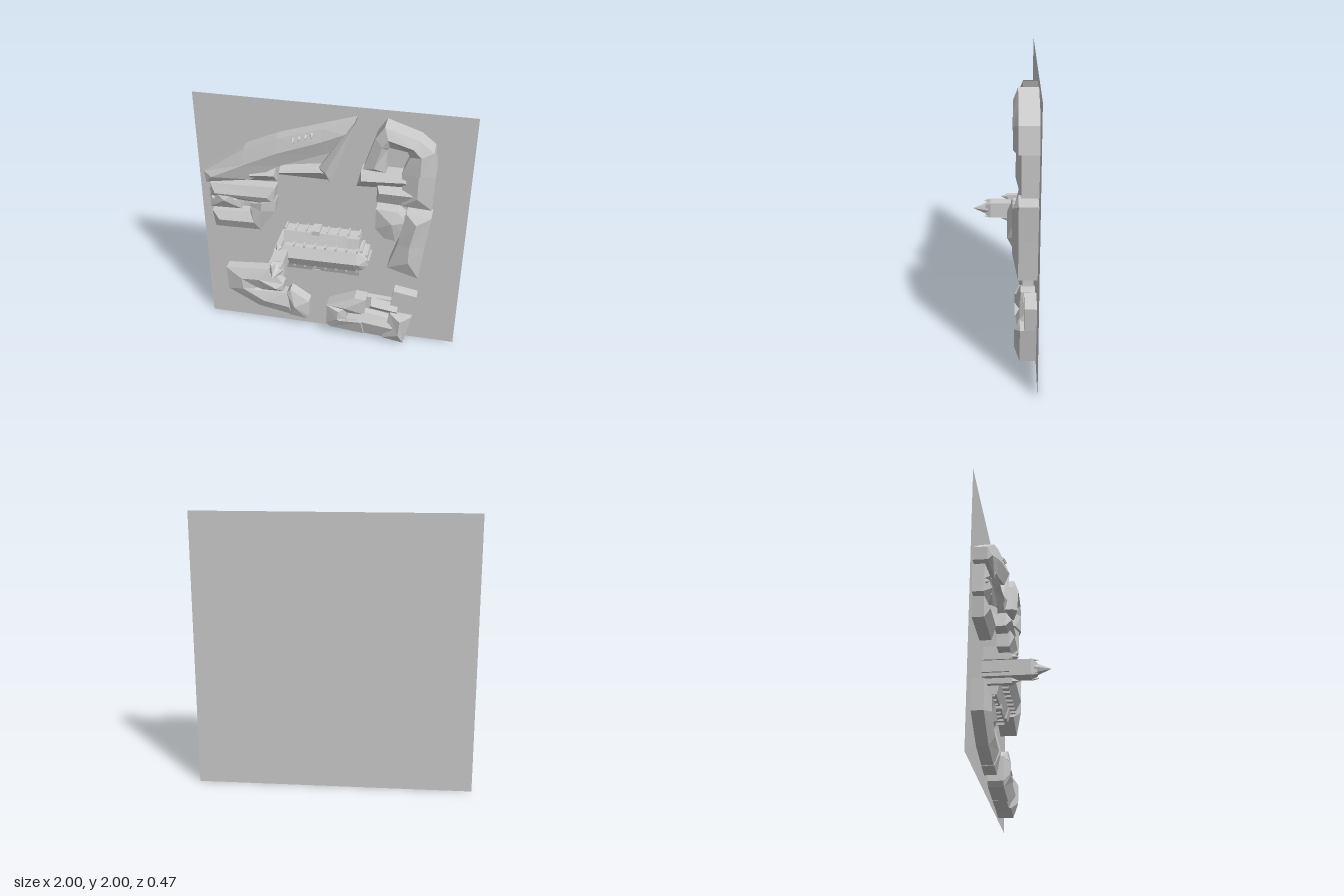
import * as THREE from 'three';

const BASE = -0.235;
const material = new THREE.MeshStandardMaterial({ color: 0xcccccc, flatShading: true, side: THREE.DoubleSide });

function add(parent, name, geometry, x = 0, y = 0, z = 0) {
  const mesh = new THREE.Mesh(geometry, material);
  mesh.name = name;
  mesh.position.set(x, y, z);
  parent.add(mesh);
  return mesh;
}

// Roofed wing lofted through sections [outerX, outerY, innerX, innerY, ridgeX, ridgeY]
function wing(parent, name, sections, eave, ridge) {
  const rings = sections.map(([ox, oy, ix, iy, rx, ry]) => [
    [ox, oy, BASE], [ox, oy, eave], [rx, ry, ridge], [ix, iy, eave], [ix, iy, BASE],
  ]);
  const tris = [];
  const quad = (a, b, c, d) => tris.push([a, b, c], [a, c, d]);
  for (let i = 0; i + 1 < rings.length; i++)
    for (let k = 0; k < 4; k++) quad(rings[i][k], rings[i + 1][k], rings[i + 1][k + 1], rings[i][k + 1]);
  const cap = (r, flip) => {
    const p = flip ? [...r].reverse() : r;
    tris.push([p[1], p[2], p[3]]);
    quad(p[0], p[1], p[3], p[4]);
  };
  cap(rings[0], false);
  cap(rings[rings.length - 1], true);
  // Turn every face outward whichever way the path runs
  const [a, b] = sections;
  const turn = (b[4] - a[4]) * (a[1] - a[3]) - (b[5] - a[5]) * (a[0] - a[2]);
  if (turn < 0) tris.forEach((t) => t.reverse());
  const g = new THREE.BufferGeometry();
  g.setAttribute('position', new THREE.Float32BufferAttribute(tris.flat(2), 3));
  g.computeVertexNormals();
  return add(parent, name, g);
}

// Walls on any outline with a roof rising to one peak
function tent(parent, name, outline, peak, eave, top) {
  const pos = [];
  outline.forEach(([x, y], i) => {
    const [u, v] = outline[(i + 1) % outline.length];
    pos.push(x, y, BASE, u, v, BASE, u, v, eave, x, y, BASE, u, v, eave, x, y, eave);
    pos.push(x, y, eave, u, v, eave, peak[0], peak[1], top);
  });
  const g = new THREE.BufferGeometry();
  g.setAttribute('position', new THREE.Float32BufferAttribute(pos, 3));
  g.computeVertexNormals();
  return add(parent, name, g);
}

// Flat-topped block on any outline
function slab(parent, name, outline, top) {
  const shape = new THREE.Shape(outline.map(([x, y]) => new THREE.Vector2(x, y)));
  return add(parent, name, new THREE.ExtrudeGeometry(shape, { depth: top - BASE, bevelEnabled: false }), 0, 0, BASE);
}

function box(parent, name, x0, x1, y0, y1, top, bottom = BASE) {
  return add(parent, name, new THREE.BoxGeometry(x1 - x0, y1 - y0, top - bottom), (x0 + x1) / 2, (y0 + y1) / 2, (top + bottom) / 2);
}

// Spire pointing away from the board
function spire(parent, name, x, y, z0, z1, r, sides = 4, turn = Math.PI / 4) {
  const g = new THREE.ConeGeometry(r, z1 - z0, sides);
  g.rotateY(turn).rotateX(Math.PI / 2);
  return add(parent, name, g, x, y, (z0 + z1) / 2);
}

function block(root, name) {
  const g = new THREE.Group();
  g.name = name;
  root.add(g);
  return g;
}

function buildChurch(root) {
  const church = block(root, 'church');
  church.rotation.z = 0.015;
  church.position.set(0.012, 0, 0);
  // Nave with hipped, polygonal choir end
  wing(church, 'nave', [[-0.33, 0.89, -0.33, 0.72, -0.33, 0.805], [0.22, 0.89, 0.22, 0.72, 0.22, 0.805],
    [0.275, 0.87, 0.275, 0.74, 0.24, 0.805], [0.305, 0.835, 0.305, 0.775, 0.245, 0.805]], -0.07, -0.03);
  // Side aisles with lean-to roofs
  for (const s of [-1, 1]) {
    const y = (d) => 0.805 + s * d;
    wing(church, 'aisle', [[-0.34, y(0.175), -0.34, y(0.08), -0.34, y(0.085)],
      [0.14, y(0.175), 0.14, y(0.08), 0.14, y(0.085)]], -0.14, -0.112);
    wing(church, 'chapel', [[0.14, y(0.17), 0.14, y(0.08), 0.14, y(0.09)],
      [0.24, y(0.17), 0.24, y(0.08), 0.24, y(0.09)]], -0.125, -0.105);
    box(church, 'porch', -0.125, -0.065, Math.min(y(0.16), y(0.195)), Math.max(y(0.16), y(0.195)), -0.13);
    for (let i = 0; i < 8; i++) {
      const x = -0.33 + i * 0.08;
      box(church, 'aisleButtress', x - 0.006, x + 0.006, y(0.176) - 0.012, y(0.176) + 0.012, -0.15);
      if (i) box(church, 'naveButtress', x - 0.007, x + 0.007, y(0.088) - 0.012, y(0.088) + 0.012, -0.068);
    }
    // Stair turret beside the tower
    box(church, 'turret', -0.375, -0.335, y(0.09) - 0.02, y(0.09) + 0.02, -0.03);
    spire(church, 'turretSpire', -0.355, y(0.09), -0.03, 0.02, 0.026, 6);
  }
  // Buttresses around the choir end
  for (let i = -2; i <= 2; i++) {
    const a = i * 0.55;
    box(church, 'choirButtress', 0.215 + 0.095 * Math.cos(a) - 0.01, 0.215 + 0.095 * Math.cos(a) + 0.01,
      0.805 + 0.092 * Math.sin(a) - 0.01, 0.805 + 0.092 * Math.sin(a) + 0.01, -0.09);
  }
  // Tower, corner pinnacles and spire
  box(church, 'tower', -0.39, -0.29, 0.745, 0.862, 0.1);
  box(church, 'towerFront', -0.405, -0.38, 0.77, 0.84, -0.05);
  add(church, 'towerGables', new THREE.CylinderGeometry(0.052, 0.078, 0.04, 4).rotateY(Math.PI / 4).rotateX(Math.PI / 2), -0.34, 0.803, 0.12);
  spire(church, 'spire', -0.34, 0.803, 0.12, 0.236, 0.052, 8, 0);
  for (const sx of [-1, 1]) for (const sy of [-1, 1])
    spire(church, 'pinnacle', -0.34 + sx * 0.042, 0.803 + sy * 0.05, 0.1, 0.155, 0.014);
}

export function createModel() {
  const root = new THREE.Group();
  root.name = 'townRelief';
  add(root, 'board', new THREE.PlaneGeometry(2, 2), 0, 1, BASE);
  buildChurch(root);

  // Triangular block at the upper left
  const a = block(root, 'triangularBlock');
  wing(a, 'longWing', [[-0.93, 1.42, -0.92, 1.33, -0.87, 1.39], [-0.62, 1.64, -0.58, 1.39, -0.62, 1.52],
    [-0.38, 1.75, -0.36, 1.53, -0.38, 1.64], [-0.05, 1.86, -0.02, 1.67, -0.05, 1.77], [0.18, 1.935, 0.04, 1.7, 0.12, 1.85]], -0.135, -0.108);
  wing(a, 'rightWing', [[0.185, 1.93, 0.02, 1.69, 0.12, 1.85], [0.015, 1.44, -0.07, 1.55, -0.02, 1.53]], -0.135, -0.108);
  wing(a, 'lowerWing', [[-0.37, 1.44, -0.36, 1.53, -0.36, 1.48], [0.01, 1.44, -0.05, 1.58, -0.01, 1.52]], -0.17, -0.125);
  slab(a, 'courtyardRoof', [[-0.37, 1.5], [-0.06, 1.52], [0.04, 1.7], [-0.3, 1.6]], -0.165);
  wing(a, 'annex', [[-0.59, 1.37, -0.6, 1.48, -0.58, 1.43], [-0.39, 1.39, -0.39, 1.51, -0.4, 1.45]], -0.16, -0.118);
  for (let i = 0; i < 4; i++) spire(a, 'dormer', -0.25 + i * 0.045, 1.75 + i * 0.018, -0.15, -0.1, 0.025).scale.y = 2;
  for (let i = 0; i < 3; i++) spire(a, 'smallDormer', -0.83 + i * 0.035, 1.43 + i * 0.02, -0.16, -0.115, 0.02).scale.y = 1.6;

  // Block at the left with a courtyard
  const b = block(root, 'leftBlock');
  wing(b, 'lowerWing', [[-0.88, 0.93, -0.9, 1.07, -0.84, 1.01], [-0.53, 0.94, -0.6, 1.09, -0.57, 1.02],
    [-0.41, 1.12, -0.6, 1.15, -0.51, 1.13], [-0.4, 1.22, -0.6, 1.17, -0.5, 1.2]], -0.155, -0.12);
  wing(b, 'upperWing', [[-0.9, 1.31, -0.9, 1.2, -0.86, 1.24], [-0.4, 1.33, -0.42, 1.18, -0.46, 1.25]], -0.155, -0.125);
  tent(b, 'pavilion', [[-0.91, 1.1], [-0.67, 1.11], [-0.68, 1.27], [-0.91, 1.28]], [-0.79, 1.19], -0.16, -0.118);
  for (const x of [-0.88, -0.71]) spire(b, 'dormer', x, 1.19, -0.165, -0.125, 0.03);

  // Ring block at the upper right
  const c = block(root, 'ringBlock');
  wing(c, 'ring', [[0.25, 1.6, 0.41, 1.59, 0.33, 1.63], [0.33, 1.85, 0.41, 1.77, 0.38, 1.8], [0.39, 1.94, 0.43, 1.79, 0.42, 1.86],
    [0.63, 1.86, 0.55, 1.77, 0.59, 1.81], [0.73, 1.78, 0.57, 1.73, 0.65, 1.75], [0.755, 1.6, 0.52, 1.59, 0.65, 1.6]], -0.1, -0.066);
  wing(c, 'rightWing', [[0.755, 1.6, 0.52, 1.6, 0.64, 1.6], [0.745, 1.31, 0.53, 1.32, 0.64, 1.41]], -0.12, -0.085);
  wing(c, 'lowerWing', [[0.2, 1.43, 0.23, 1.56, 0.24, 1.5], [0.57, 1.45, 0.57, 1.58, 0.55, 1.52]], -0.145, -0.1);
  wing(c, 'cornerWing', [[0.35, 1.325, 0.35, 1.47, 0.37, 1.42], [0.65, 1.315, 0.65, 1.47, 0.64, 1.42]], -0.13, -0.092);
  slab(c, 'courtyardFloor', [[0.4, 1.59], [0.53, 1.59], [0.58, 1.74], [0.42, 1.78]], -0.19);

  // Pair of buildings at the right
  const d = block(root, 'rightBlock');
  tent(d, 'corner', [[0.35, 1.1], [0.42, 1.02], [0.5, 1.01], [0.55, 1.1], [0.58, 1.18], [0.51, 1.26], [0.35, 1.27]], [0.47, 1.17], -0.12, -0.085);
  slab(d, 'link', [[0.45, 1.04], [0.58, 1.02], [0.6, 1.22], [0.5, 1.22]], -0.14);
  wing(d, 'longWing', [[0.75, 1.25, 0.57, 1.265, 0.65, 1.2], [0.72, 1, 0.52, 0.99, 0.61, 1],
    [0.69, 0.7, 0.455, 0.77, 0.61, 0.86]], -0.105, -0.064);

  // Hooked block at the lower left
  const e = block(root, 'hookedBlock');
  wing(e, 'hook', [[-0.365, 0.43, -0.37, 0.36, -0.42, 0.4], [-0.475, 0.565, -0.54, 0.35, -0.56, 0.47], [-0.83, 0.53, -0.6, 0.37, -0.7, 0.46],
    [-0.82, 0.32, -0.58, 0.355, -0.69, 0.36], [-0.57, 0.18, -0.47, 0.34, -0.52, 0.26], [-0.3, 0.13, -0.33, 0.35, -0.32, 0.23]], -0.155, -0.12);
  tent(e, 'corner', [[-0.32, 0.13], [-0.18, 0.11], [-0.16, 0.14], [-0.16, 0.29], [-0.31, 0.39], [-0.34, 0.35]], [-0.27, 0.24], -0.15, -0.112);

  // Block at the lower right
  const f = block(root, 'lowerRightBlock');
  wing(f, 'leftHouse', [[-0.01, 0.3, 0.15, 0.3, 0.09, 0.28], [-0.015, 0.12, 0.15, 0.18, 0.08, 0.2], [0.02, 0.085, 0.15, 0.18, 0.1, 0.19],
    [0.29, 0.06, 0.29, 0.2, 0.27, 0.2]], -0.125, -0.085);
  tent(f, 'backHouse', [[-0.01, 0.3], [0.14, 0.25], [0.29, 0.25], [0.3, 0.4], [0.21, 0.405]], [0.14, 0.31], -0.13, -0.1);
  wing(f, 'middleWing', [[0.27, 0.06, 0.26, 0.28, 0.27, 0.2], [0.52, 0.04, 0.52, 0.24, 0.52, 0.17]], -0.135, -0.095);
  wing(f, 'rightWing', [[0.61, 0.022, 0.44, 0.05, 0.57, 0.12], [0.665, 0.3, 0.495, 0.31, 0.58, 0.26]], -0.12, -0.08);
  wing(f, 'courtBar', [[0.33, 0.31, 0.34, 0.39, 0.34, 0.355], [0.55, 0.28, 0.55, 0.36, 0.55, 0.325]], -0.15, -0.12);
  slab(f, 'courtyardFloor', [[0.29, 0.2], [0.5, 0.2], [0.52, 0.38], [0.3, 0.39]], -0.19);
  slab(f, 'northWing', [[0.48, 0.3], [0.66, 0.28], [0.69, 0.48], [0.51, 0.51]], -0.15);
  return root;
}
